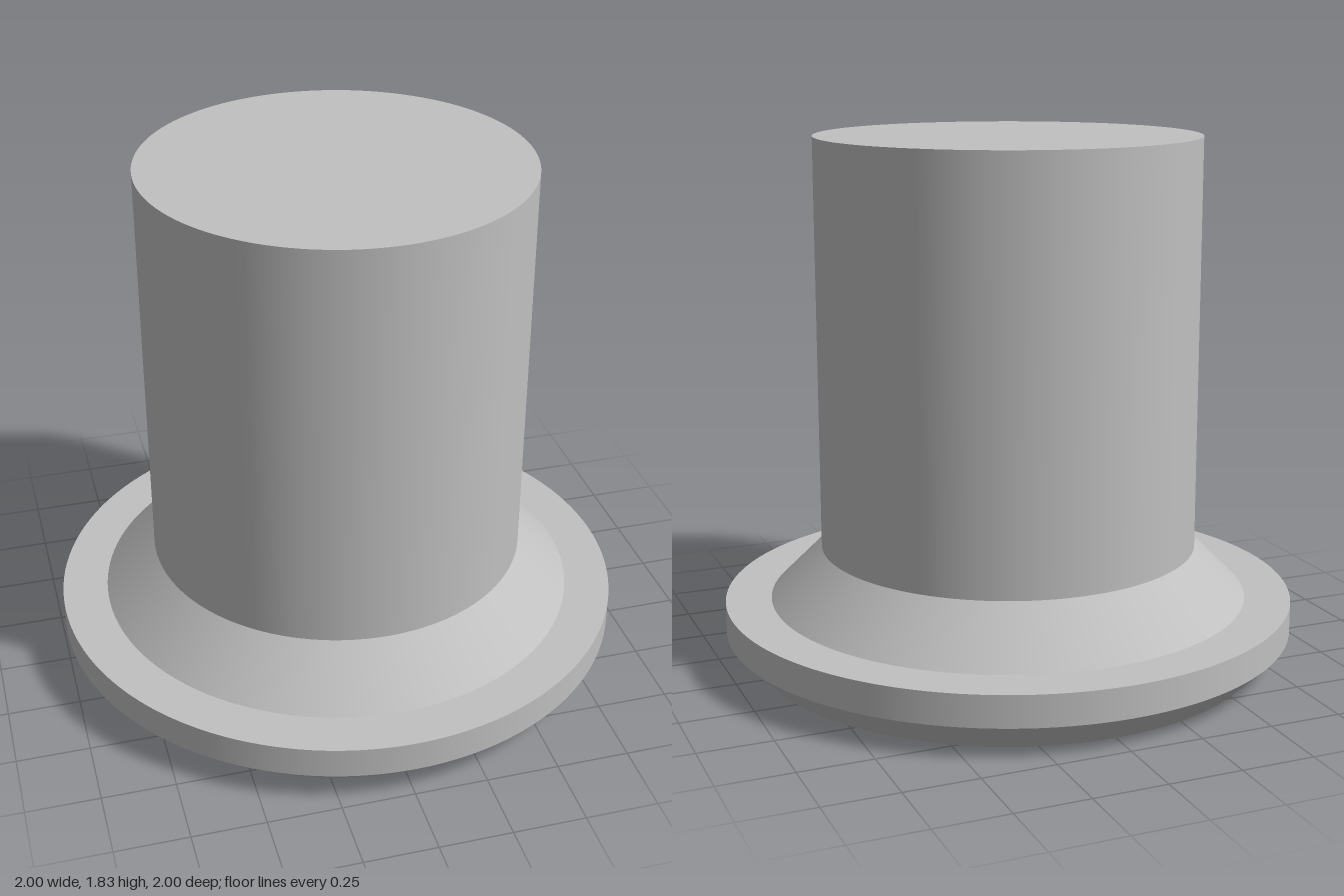
import * as THREE from 'three';

export function createModel() {
  const model = new THREE.Group();
  model.name = 'flangedStud';
  const steel = new THREE.MeshStandardMaterial({ color: 0xc0c0c0 });
  steel.name = 'plain grey metal';
  const SIDES = 128;

  const add = (name, geometry) => {
    const mesh = new THREE.Mesh(geometry, steel);
    mesh.name = name;
    model.add(mesh);
  };

  // Open band between two radii and heights
  const band = (name, r0, y0, r1, y1) =>
    add(name, new THREE.CylinderGeometry(r1, r0, y1 - y0, SIDES, 1, true).translate(0, (y0 + y1) / 2, 0));

  // Flat face, facing up (1) or down (-1)
  const face = (name, inner, outer, y, dir) => {
    const g = inner > 0 ? new THREE.RingGeometry(inner, outer, SIDES) : new THREE.CircleGeometry(outer, SIDES);
    add(name, g.rotateX(-dir * Math.PI / 2).translate(0, y, 0));
  };

  // Flange with a chamfered underside
  face('flangeBottom', 0, 0.89, 0, -1);
  band('flangeChamfer', 0.89, 0, 1, 0.108);
  band('flangeRim', 1, 0.108, 1, 0.217);
  face('flangeTop', 0.84, 1, 0.217, 1);

  // Conical collar leading into the shaft
  band('collar', 0.84, 0.217, 0.66, 0.396);

  // Shaft
  band('shaft', 0.66, 0.396, 0.66, 1.826);
  face('shaftTop', 0, 0.66, 1.826, 1);

  return model;
}
